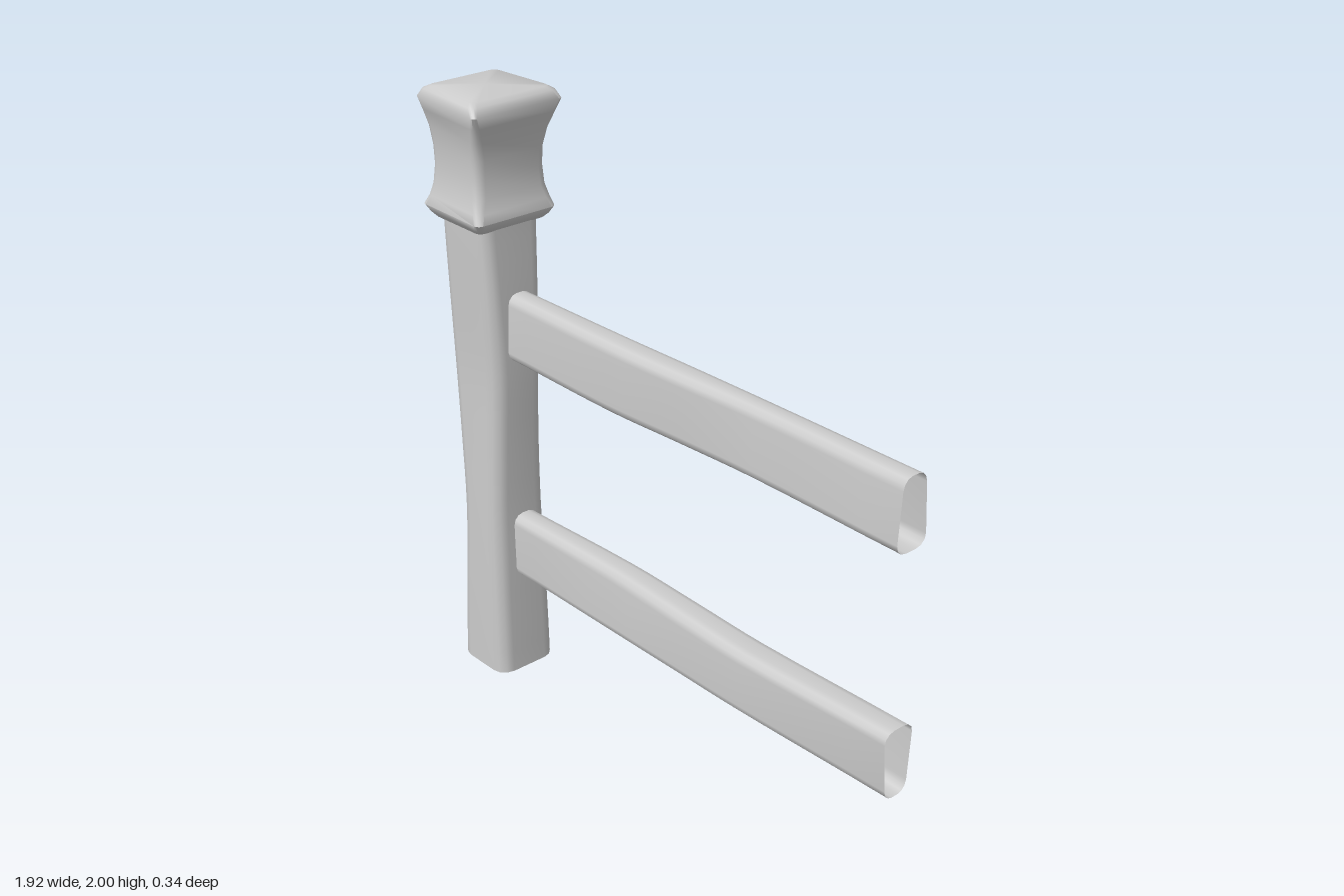
import * as THREE from 'three';
import { toCreasedNormals } from 'three/addons/utils/BufferGeometryUtils.js';

const material = new THREE.MeshStandardMaterial({ color: 0xcccccc, side: THREE.DoubleSide });
const CORNER_STEPS = 3;

// Rounded rectangle in (u, v); taper widens v toward u1 and narrows it toward u0
function section([, u0, u1, v0, v1, r, taper = 0]) {
  const cu = (u0 + u1) / 2, cv = (v0 + v1) / 2;
  const hu = (u1 - u0) / 2, hv = (v1 - v0) / 2;
  const points = [];
  [[1, 1], [-1, 1], [-1, -1], [1, -1]].forEach(([su, sv], k) => {
    for (let s = 0; s <= CORNER_STEPS; s++) {
      const a = (k + s / CORNER_STEPS) * Math.PI / 2;
      const u = su * (hu - r) + r * Math.cos(a);
      const v = sv * (hv - r) + r * Math.sin(a);
      points.push([cu + u, cv + v * (1 + (hu ? taper * u / hu : 0))]);
    }
  });
  return points;
}

// Smoothly interpolate the cross-section rows [t, u0, u1, v0, v1, radius, taper]
function refine(rows, steps) {
  const out = [];
  const cr = (a, b, c, d, f) => b + 0.5 * f * (c - a + f * (2 * a - 5 * b + 4 * c - d + f * (3 * (b - c) + d - a)));
  for (let i = 0; i < rows.length - 1; i++) {
    const b = rows[i], c = rows[i + 1];
    const a = rows[i - 1] || b, d = rows[i + 2] || c;
    for (let s = 0; s < steps; s++) {
      const f = s / steps;
      out.push(b.map((x, k) => k === 0 ? x + (c[0] - x) * f : cr(a[k], x, c[k], d[k], f)));
    }
  }
  out.push(rows[rows.length - 1]);
  return out;
}

// Skin the sections along their axis
function loft(name, rows, place, crease) {
  const positions = [], index = [];
  const n = 4 * (CORNER_STEPS + 1);
  rows.forEach((row, i) => {
    section(row).forEach(([u, v], j) => {
      positions.push(...place(row[0], u, v));
      if (i === rows.length - 1) return;
      const a = i * n + j, b = i * n + (j + 1) % n;
      index.push(a, b, a + n, b, b + n, a + n);
    });
  });
  let geometry = new THREE.BufferGeometry();
  geometry.setAttribute('position', new THREE.Float32BufferAttribute(positions, 3));
  geometry.setIndex(index);
  if (crease) geometry = toCreasedNormals(geometry, crease);
  else geometry.computeVertexNormals();
  const mesh = new THREE.Mesh(geometry, material);
  mesh.name = name;
  return mesh;
}

const upright = (t, u, v) => [u, t, -v];
const sideways = (t, u, v) => [t, u, v];

export function createModel() {
  const group = new THREE.Group();
  group.name = 'fenceEnd';

  // Hewn post, open at the foot: [y, x0, x1, -zFront, -zBack, radius]
  const post = [
    [0, -0.91, -0.68, -0.122, 0.108, 0.05],
    [0.3, -0.895, -0.685, -0.12, 0.105, 0.05],
    [0.58, -0.882, -0.69, -0.115, 0.098, 0.05],
    [0.85, -0.9, -0.685, -0.107, 0.094, 0.05],
    [1.1, -0.918, -0.677, -0.102, 0.096, 0.05],
    [1.35, -0.916, -0.677, -0.11, 0.1, 0.045],
    [1.6, -0.912, -0.682, -0.12, 0.106, 0.045],
  ];
  group.add(loft('post', refine(post, 4), upright));

  // Flared cap with a lower lip, a waist and a closed top
  const cap = [
    [1.595, -0.88, -0.71, -0.09, 0.08, 0.02, 0],
    [1.583, -0.923, -0.685, -0.128, 0.122, 0.02, 0.02],
    [1.597, -0.94, -0.67, -0.14, 0.132, 0.02, 0.03],
    [1.62, -0.955, -0.657, -0.152, 0.143, 0.02, 0.03],
    [1.65, -0.942, -0.667, -0.143, 0.135, 0.025, 0.04],
    [1.69, -0.933, -0.676, -0.134, 0.127, 0.03, 0.04],
    [1.75, -0.928, -0.681, -0.129, 0.123, 0.03, 0.05],
    [1.81, -0.93, -0.678, -0.13, 0.125, 0.03, 0.05],
    [1.87, -0.936, -0.668, -0.137, 0.134, 0.025, 0.06],
    [1.92, -0.95, -0.652, -0.148, 0.148, 0.02, 0.07],
    [1.958, -0.961, -0.641, -0.157, 0.159, 0.015, 0.075],
    [1.985, -0.942, -0.655, -0.15, 0.15, 0.02, 0.07],
    [1.996, -0.92, -0.672, -0.135, 0.135, 0.02, 0.06],
    [2, -0.8, -0.8, 0, 0, 0, 0],
  ];
  group.add(loft('postCap', cap, upright, 0.9));

  // Wavy plank rails, open at the ends: [x, y0, y1, zBack, zFront, radius, taper]
  const upperRail = [
    [-0.72, 1.14, 1.365, -0.055, 0.042, 0.035, -0.1],
    [-0.2, 1.136, 1.365, -0.052, 0.052, 0.035, -0.05],
    [0.1, 1.137, 1.364, -0.055, 0.043, 0.035, 0],
    [0.4, 1.139, 1.363, -0.06, 0.034, 0.035, -0.1],
    [0.96, 1.14, 1.365, -0.056, 0.045, 0.035, -0.15],
  ];
  const lowerRail = [
    [-0.72, 0.355, 0.585, -0.053, 0.04, 0.035, 0],
    [-0.2, 0.355, 0.587, -0.072, 0.043, 0.038, -0.1],
    [0.1, 0.359, 0.583, -0.066, 0.052, 0.038, -0.05],
    [0.4, 0.362, 0.578, -0.058, 0.058, 0.036, 0],
    [0.96, 0.356, 0.584, -0.056, 0.044, 0.035, 0.15],
  ];
  group.add(loft('upperRail', refine(upperRail, 4), sideways));
  group.add(loft('lowerRail', refine(lowerRail, 4), sideways));

  return group;
}
